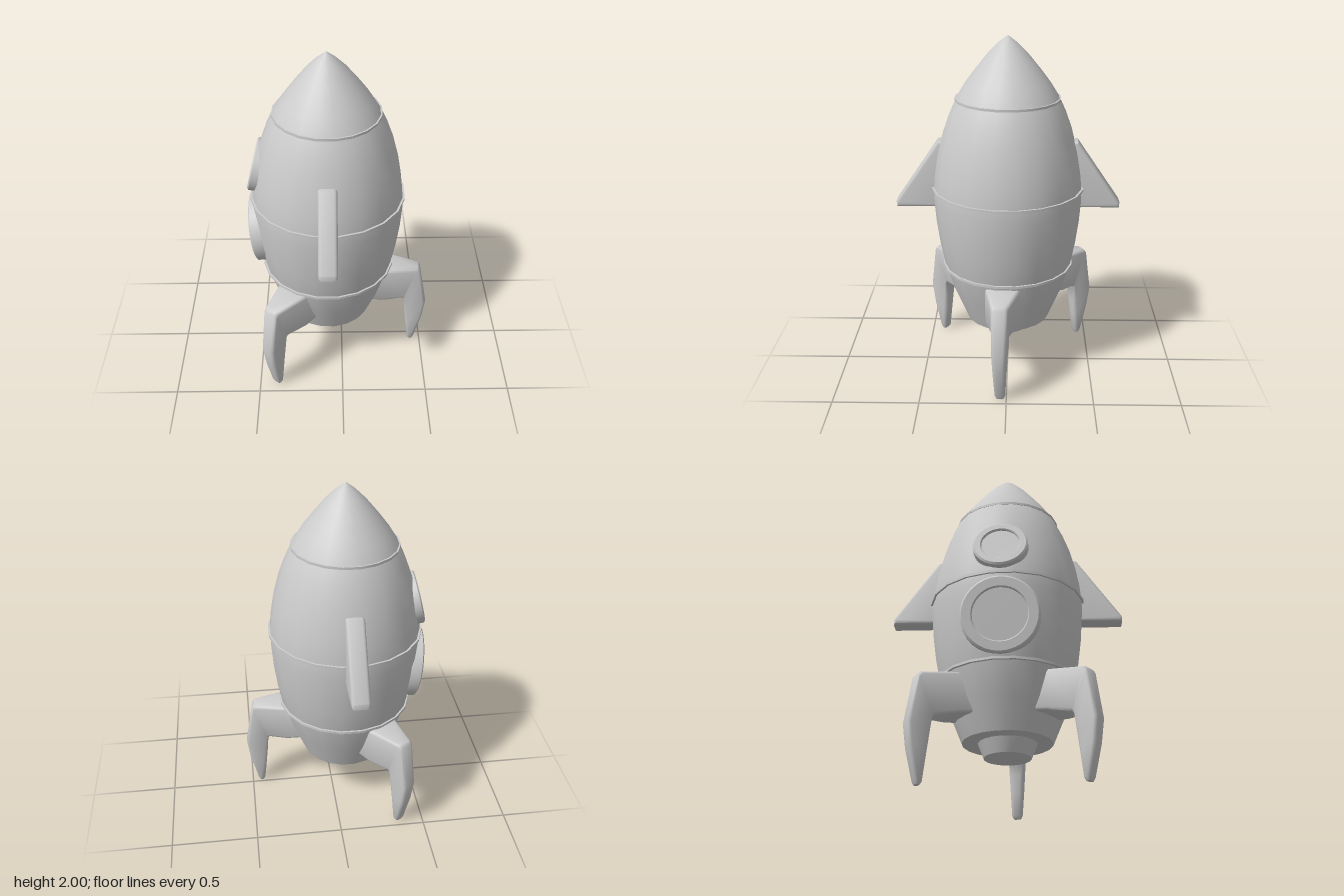
import * as THREE from 'three';
import { toCreasedNormals } from 'three/addons/utils/BufferGeometryUtils.js';

const SIDES = 20;
const rad = THREE.MathUtils.degToRad;
const material = new THREE.MeshStandardMaterial({ color: 0xcccccc });

function part(name, geometry, crease = 0.6) {
  const mesh = new THREE.Mesh(toCreasedNormals(geometry, crease), material);
  mesh.name = name;
  return mesh;
}

function lathe(points, segments) {
  return new THREE.LatheGeometry(points.map(([r, y]) => new THREE.Vector2(r, y)), segments);
}

// Leg swept through rounded rectangles: [outer r, outer y, inner r, inner y, width, corner]
function legGeometry() {
  const sections = [
    [0.24, 0.615, 0.24, 0.40, 0.23, 0.015],
    [0.35, 0.615, 0.35, 0.382, 0.20, 0.018],
    [0.545, 0.598, 0.46, 0.362, 0.10, 0.02],
    [0.56, 0.58, 0.47, 0.35, 0.096, 0.02],
    [0.605, 0.32, 0.478, 0.25, 0.085, 0.02],
    [0.588, 0.19, 0.488, 0.15, 0.075, 0.02],
    [0.545, 0.02, 0.503, 0.015, 0.06, 0.015],
    [0.535, 0.0, 0.513, 0.0, 0.042, 0.008],
  ];
  const n = 12, pos = [], index = [];
  for (const [or, oy, ir, iy, w, c] of sections) {
    const len = Math.hypot(or - ir, oy - iy);
    const ur = (or - ir) / len, uy = (oy - iy) / len;
    for (let k = 0; k < 4; k++) {
      const su = k === 0 || k === 3 ? 1 : -1, sv = k < 2 ? 1 : -1;
      for (let j = 0; j < 3; j++) {
        const a = (k + j / 2) * Math.PI / 2;
        const u = su * (len / 2 - c) + c * Math.cos(a);
        const v = sv * (w / 2 - c) + c * Math.sin(a);
        pos.push((or + ir) / 2 + ur * u, (oy + iy) / 2 + uy * u, v);
      }
    }
  }
  const last = (sections.length - 1) * n;
  for (let s = 0; s < last; s += n) {
    for (let i = 0; i < n; i++) {
      const j = (i + 1) % n;
      index.push(s + i, s + j, s + n + j, s + i, s + n + j, s + n + i);
    }
  }
  for (let i = 1; i < n - 1; i++) {
    index.push(0, i + 1, i, last, last + i, last + i + 1);
  }
  const g = new THREE.BufferGeometry();
  g.setAttribute('position', new THREE.Float32BufferAttribute(pos, 3));
  g.setIndex(index);
  return g;
}

// Triangular fin in the radial plane with rounded edges
function finGeometry() {
  const b = 0.018;
  const shape = new THREE.Shape([
    [0.36, 1.0 + b], [0.637, 1.0 + b], [0.637, 1.028], [0.395, 1.4 - b], [0.36, 1.4 - b],
  ].map(([r, y]) => new THREE.Vector2(r, y)));
  const depth = 0.104 - 2 * b;
  const g = new THREE.ExtrudeGeometry(shape, {
    depth, bevelSize: b, bevelThickness: b, bevelSegments: 3,
  });
  return g.translate(0, 0, -depth / 2);
}

// Porthole: raised ring with a recessed pane, facing its local +y
function porthole(name, outer, inner) {
  const group = new THREE.Group();
  group.name = name;
  const ring = part('portholeRing', lathe([
    [outer, -0.07], [outer, -0.008], [outer - 0.01, 0],
    [inner + 0.006, 0], [inner, -0.006], [inner, -0.03],
  ], 32));
  const pane = part('portholePane', new THREE.CylinderGeometry(inner + 0.005, inner + 0.005, 0.02, 32));
  pane.position.y = -0.022;
  group.add(ring, pane);
  return group;
}

export function createModel() {
  const model = new THREE.Group();
  model.name = 'rocket';
  const rocket = new THREE.Group();
  rocket.name = 'rocketAssembly';
  rocket.position.x = -0.08;
  model.add(rocket);

  // Hull, nozzle and seam bands share one faceted axis
  const hull = new THREE.Group();
  hull.name = 'hull';
  hull.rotation.y = rad(7.7);
  hull.add(part('body', lathe([
    [0, 0.29], [0.25, 0.29], [0.325, 0.47], [0.378, 0.64], [0.405, 0.78], [0.424, 0.92],
    [0.434, 1.05], [0.434, 1.12], [0.424, 1.22], [0.405, 1.33], [0.372, 1.46],
    [0.336, 1.56], [0.295, 1.65], [0.245, 1.73], [0.185, 1.81], [0.112, 1.9], [0.055, 1.957], [0, 2],
  ], SIDES)));
  const nozzle = part('nozzle', new THREE.CylinderGeometry(0.165, 0.13, 0.085, SIDES));
  nozzle.position.y = 0.2525;
  hull.add(nozzle);
  for (const [r, y] of [[0.303, 1.645], [0.445, 1.12], [0.39, 0.64]]) {
    const band = part('seamBand', new THREE.CylinderGeometry(r, r, 0.014, SIDES));
    band.position.y = y;
    hull.add(band);
  }
  rocket.add(hull);

  // Front and back fins
  for (const [name, angle] of [['frontFin', -90], ['backFin', 90]]) {
    const fin = part(name, finGeometry());
    fin.rotation.y = rad(angle);
    rocket.add(fin);
  }

  // Three landing legs
  for (const angle of [4, 127, 238]) {
    const leg = part('landingLeg', legGeometry(), 0.85);
    leg.rotation.y = -rad(angle);
    rocket.add(leg);
  }

  // Portholes on the right side
  const portholes = new THREE.Group();
  portholes.name = 'portholes';
  portholes.rotation.y = rad(-3.3);
  const upper = porthole('upperPorthole', 0.153, 0.105);
  upper.position.set(-0.426, 1.303, 0);
  upper.rotation.z = rad(90 - 13);
  const lower = porthole('lowerPorthole', 0.216, 0.15);
  lower.position.set(-0.431, 0.873, 0);
  lower.rotation.z = rad(90 + 7);
  portholes.add(upper, lower);
  rocket.add(portholes);

  return model;
}
